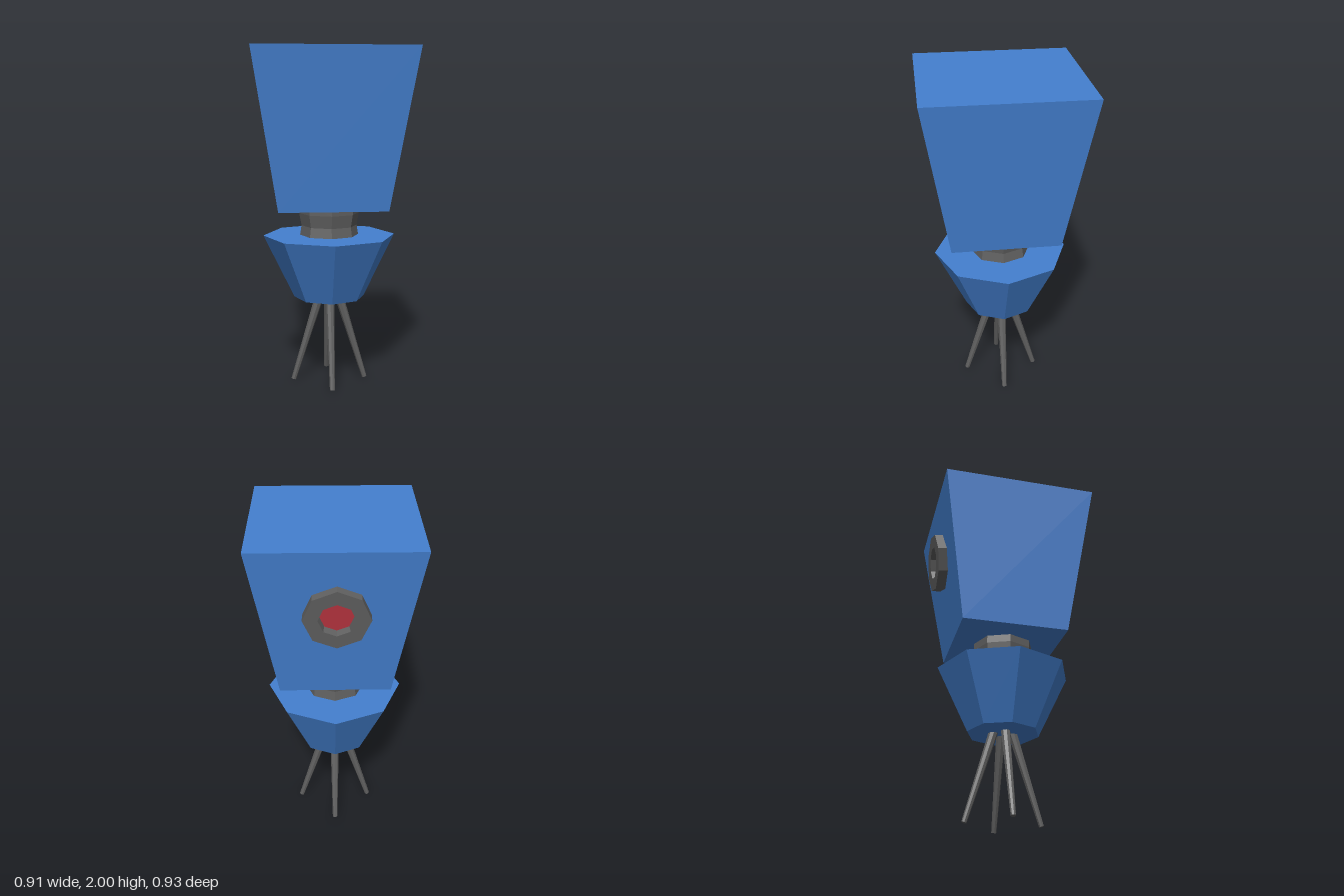
import * as THREE from 'three';

const material = (color) => new THREE.MeshStandardMaterial({ color, flatShading: true });

export function createModel() {
  const model = new THREE.Group();
  const blue = material(0x4480d0);
  const dark = material(0x606060);
  const red = material(0xb83440);
  const centreZ = 0.01;

  const add = (name, geometry, mat, parent) => {
    const mesh = new THREE.Mesh(geometry, mat);
    mesh.name = name;
    parent.add(mesh);
    return mesh;
  };
  const lathe = (points) =>
    new THREE.LatheGeometry(points.map(([r, y]) => new THREE.Vector2(r, y)), 8);

  // Tapered box head, wider at the top
  const headShape = new THREE.CylinderGeometry(0.457 * Math.SQRT2, 0.313 * Math.SQRT2, 0.91, 4);
  headShape.rotateY(Math.PI / 4);
  add('head', headShape, blue, model).position.set(0, 1.545, centreZ);

  // Waisted neck
  const neck = lathe([[0, 0.912], [0.176, 0.912], [0.167, 0.97], [0.181, 1.045], [0.181, 1.1], [0, 1.1]]);
  add('neck', neck, dark, model).position.z = centreZ;

  // Octagonal body, narrowing downwards
  const body = new THREE.CylinderGeometry(0.397, 0.213, 0.38, 8);
  add('body', body, blue, model).position.set(0, 0.72, centreZ);

  // Four splayed, tapering legs
  const top = new THREE.Vector3(0, 0.56, 0.05);
  const foot = new THREE.Vector3(0, 0.006, 0.22);
  const along = top.clone().sub(foot);
  for (let i = 0; i < 4; i++) {
    const pivot = new THREE.Group();
    pivot.name = 'leg' + (i + 1);
    pivot.position.z = centreZ;
    pivot.rotation.y = (i * Math.PI) / 2;
    const leg = add('legRod', new THREE.CylinderGeometry(0.028, 0.015, along.length(), 8), dark, pivot);
    leg.position.copy(top).add(foot).multiplyScalar(0.5);
    leg.quaternion.setFromUnitVectors(new THREE.Vector3(0, 1, 0), along.clone().normalize());
    model.add(pivot);
  }

  // Ringed eye set against the sloping back of the head
  const eye = new THREE.Group();
  eye.name = 'eye';
  eye.position.set(-0.005, 1.625, -0.386);
  eye.rotation.x = -(Math.PI / 2 + 0.125);
  add('eyeRing', lathe([[0.18, -0.02], [0.18, 0.055], [0.1, 0.055], [0.088, -0.02], [0.18, -0.02]]), dark, eye);
  add('eyeLens', new THREE.CylinderGeometry(0.092, 0.092, 0.03, 8), red, eye);
  model.add(eye);

  return model;
}
